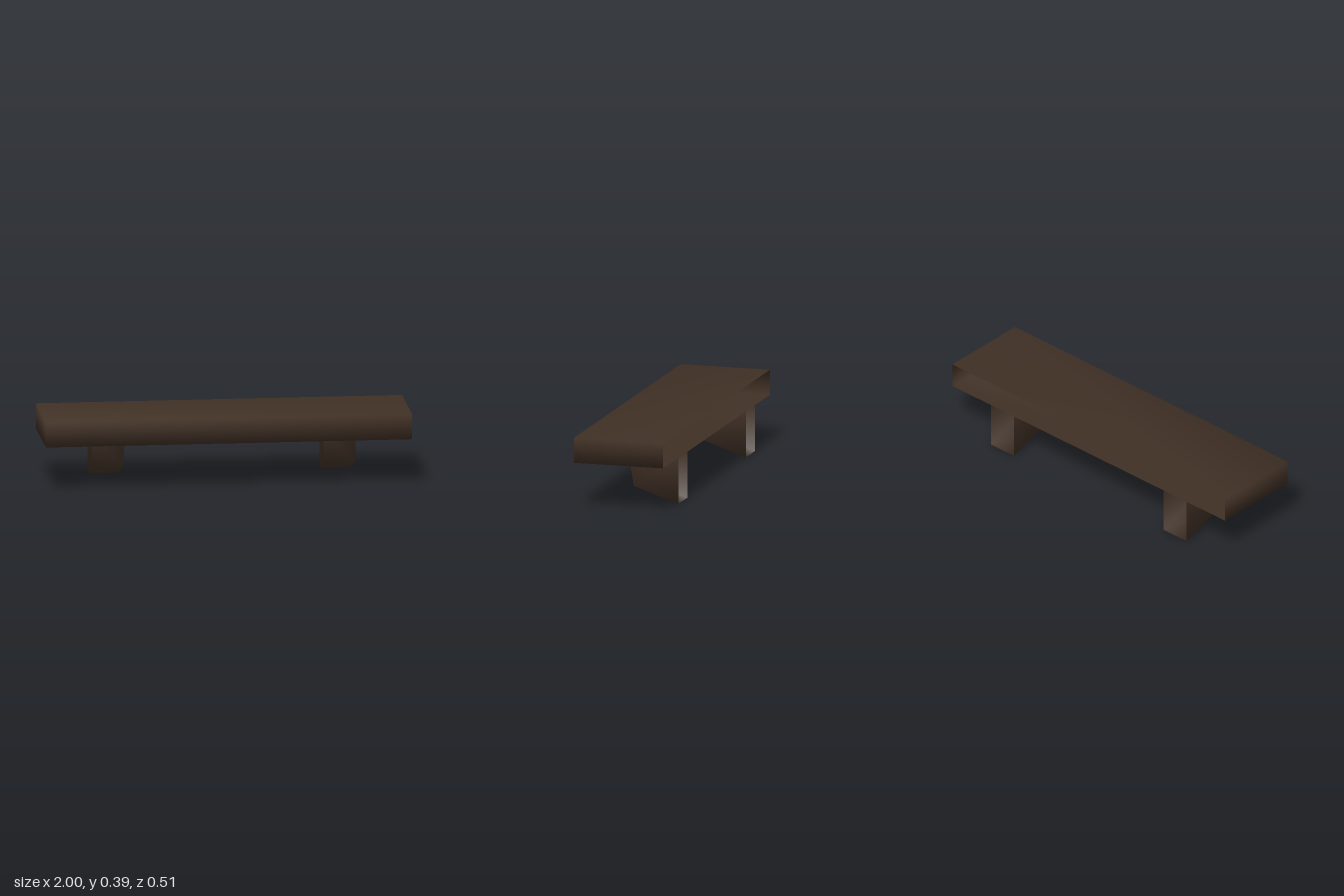
import * as THREE from 'three';

// Open-backed shell: a four-point [z, y] profile swept along x, closed by two ends.
// The profile runs back top, front top, front bottom, back bottom; the back stays open.
// Corners are shared so the shading runs smoothly over the edges.
function shell(profile, halfWidth, firstEdge) {
  const positions = [];
  for (const x of [-halfWidth, halfWidth]) {
    for (const [z, y] of profile) positions.push(x, y, z);
  }
  const n = profile.length;
  const index = [];
  for (let i = firstEdge; i < n - 1; i++) {
    index.push(i, i + 1, n + i + 1, i, n + i + 1, n + i);
  }
  for (let i = 1; i < n - 1; i++) {
    index.push(n, n + i, n + i + 1); // +x end
    index.push(0, i + 1, i); // -x end
  }
  const geometry = new THREE.BufferGeometry();
  geometry.setAttribute('position', new THREE.Float32BufferAttribute(positions, 3));
  geometry.setIndex(index);
  geometry.computeVertexNormals();
  return geometry;
}

export function createModel() {
  const group = new THREE.Group();
  group.name = 'wallShelf';

  const darkWood = new THREE.MeshStandardMaterial({ color: 0x403025, side: THREE.DoubleSide });
  darkWood.name = 'dark wood';

  // Thick shelf board
  const boardProfile = [[-0.253, 0.394], [0.253, 0.394], [0.253, 0.255], [-0.253, 0.255]];
  const board = new THREE.Mesh(shell(boardProfile, 1, 0), darkWood);
  board.name = 'shelfBoard';
  group.add(board);

  // Two tapered brackets, open where they meet the board and the wall
  const bracketProfile = [[-0.253, 0.255], [0.028, 0.255], [0, 0.085], [-0.253, 0]];
  const bracketGeometry = shell(bracketProfile, 0.084, 1);
  for (const side of [-1, 1]) {
    const bracket = new THREE.Mesh(bracketGeometry, darkWood);
    bracket.name = side > 0 ? 'leftBracket' : 'rightBracket';
    bracket.position.x = side * 0.633;
    group.add(bracket);
  }

  return group;
}
